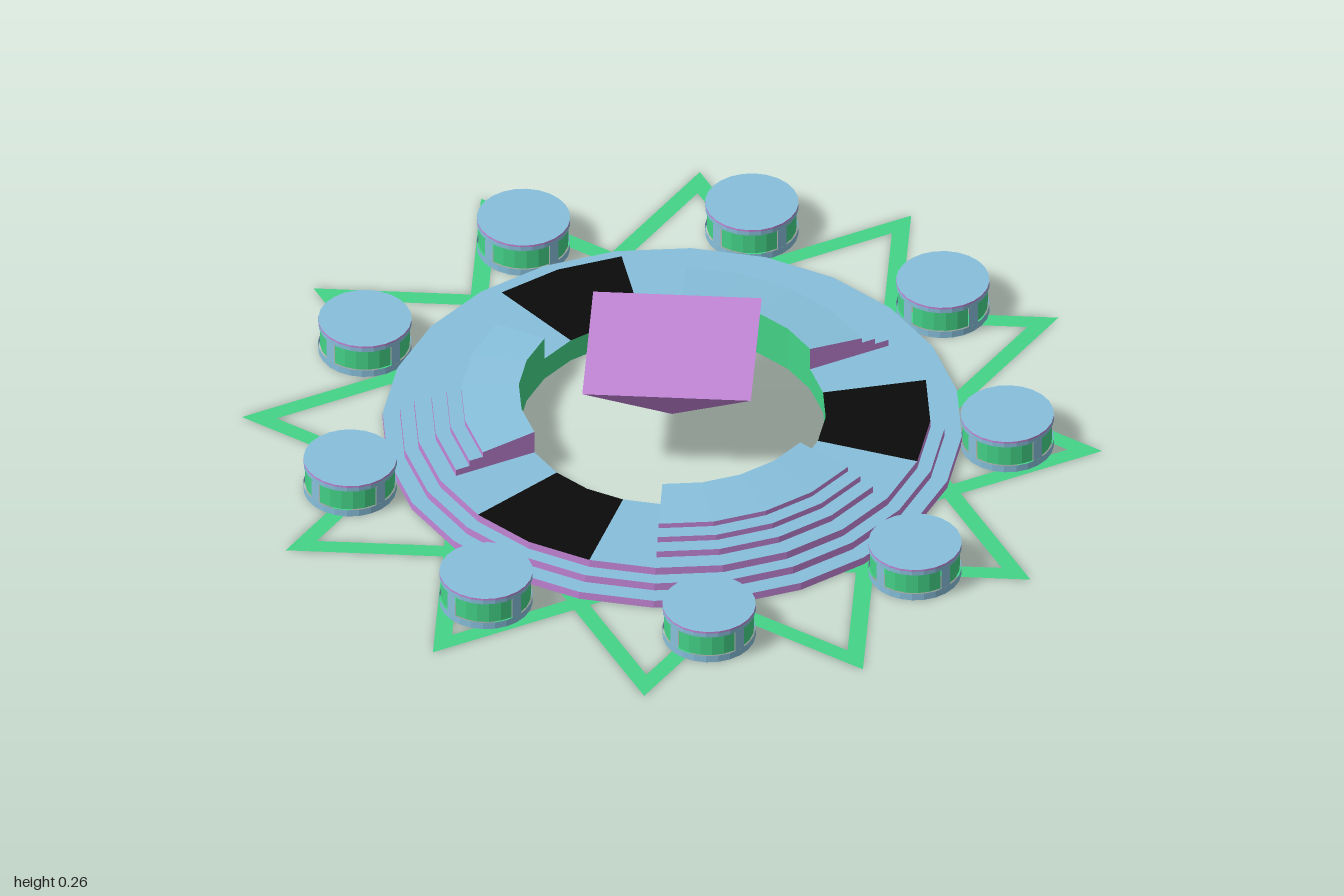
import * as THREE from 'three';

const RAD = Math.PI / 180;
const mat = (color) => new THREE.MeshStandardMaterial({ color, flatShading: true, side: THREE.DoubleSide });
const blue = mat(0x88c0dc), pink = mat(0xc486d8), green = mat(0x44d488), black = mat(0x0a0a0a);

function add(parent, name, geometry, material) {
  const mesh = new THREE.Mesh(geometry, material);
  mesh.name = name;
  parent.add(mesh);
  return mesh;
}

// Surface swept round y from one profile segment; angles run from +x towards +z.
function sweep(parent, name, material, r0, y0, r1, y1, from = 0, to = 360, step = 15) {
  const points = [new THREE.Vector2(r0, y0), new THREE.Vector2(r1, y1)];
  const count = Math.max(1, Math.round((to - from) / step));
  const geometry = new THREE.LatheGeometry(points, count, (90 - to) * RAD, (to - from) * RAD);
  return add(parent, name, geometry, material);
}

// Four flat triangular frames form the twelve-pointed star.
function makeStar() {
  const star = new THREE.Group();
  star.name = 'star';
  const corners = (r) => [0, 1, 2].map((i) =>
    new THREE.Vector2(r * Math.cos(i * 120 * RAD), r * Math.sin(i * 120 * RAD)));
  const shape = new THREE.Shape(corners(0.995));
  shape.holes.push(new THREE.Path(corners(0.915)));
  const geometry = new THREE.ShapeGeometry(shape).rotateX(-Math.PI / 2);
  for (let i = 0; i < 4; i++) {
    add(star, 'triangleFrame', geometry, green).rotation.y = i * 30 * RAD;
  }
  return star;
}

const INNER = 0.355;

// Stepped ring, hollow underneath.
function makeRing() {
  const ring = new THREE.Group();
  ring.name = 'steppedRing';
  const radii = [0.67, 0.63, 0.597];
  radii.forEach((r, i) => {
    const y = (i + 1) * 0.02;
    sweep(ring, 'stepRiser', pink, r, y - 0.02, r, y);
    if (i < 2) sweep(ring, 'stepTread', blue, r, y, radii[i + 1], y);
  });
  sweep(ring, 'innerWall', green, INNER, 0.002, INNER, 0.06);
  for (let i = 0; i < 3; i++) {
    const a = i * 120;
    sweep(ring, 'darkPanel', black, 0.597, 0.06, INNER, 0.06, a - 15, a + 15);
    sweep(ring, 'ringTop', blue, 0.597, 0.06, INNER, 0.06, a + 15, a + 105);
    ring.add(makePlatform(a + 30, a + 90));
  }
  return ring;
}

// Raised platform on the ring: three steps, a slightly sloped top, flat ends.
function makePlatform(from, to) {
  const platform = new THREE.Group();
  platform.name = 'raisedPlatform';
  const profile = [[0.557, 0.06], [0.557, 0.077], [0.522, 0.077], [0.522, 0.092],
    [0.488, 0.092], [0.488, 0.105], [INNER, 0.119], [INNER, 0.06]];
  for (let i = 0; i < 7; i++) {
    const [a, b] = [profile[i], profile[i + 1]];
    const material = i === 6 ? green : i % 2 ? blue : pink;
    const name = i === 6 ? 'platformInnerWall' : i % 2 ? 'platformTread' : 'platformRiser';
    sweep(platform, name, material, ...a, ...b, from, to);
  }
  const end = new THREE.ShapeGeometry(new THREE.Shape(profile.map((p) => new THREE.Vector2(...p))));
  for (const angle of [from, to]) add(platform, 'platformEnd', end, pink).rotation.y = -angle * RAD;
  return platform;
}

// Round pod with four curved windows, open at the bottom.
function makePod() {
  const pod = new THREE.Group();
  pod.name = 'pod';
  const r = 0.108;
  sweep(pod, 'podTop', blue, r, 0.09, 0, 0.09);
  sweep(pod, 'podRim', pink, r, 0.085, r, 0.09);
  sweep(pod, 'podUpperBand', blue, r, 0.074, r, 0.085);
  sweep(pod, 'podLowerBand', blue, r, 0.002, r, 0.02);
  for (let i = 0; i < 4; i++) {
    const a = i * 90;
    sweep(pod, 'podWindow', green, r - 0.004, 0.02, r - 0.004, 0.074, a - 38, a + 38);
    sweep(pod, 'podPost', blue, r, 0.02, r, 0.074, a + 38, a + 52);
  }
  return pod;
}

export function createModel() {
  const model = new THREE.Group();
  model.name = 'starStation';
  model.add(makeStar());

  // Ring and pods share a centre
  const hub = new THREE.Group();
  hub.name = 'hub';
  hub.position.z = -0.01;
  hub.add(makeRing());
  for (let i = 0; i < 9; i++) {
    const pod = makePod();
    const a = i * 40 * RAD;
    pod.position.set(0.775 * Math.cos(a), 0, 0.775 * Math.sin(a));
    hub.add(pod);
  }
  model.add(hub);

  // Inverted square pyramid floating in the middle
  const pyramid = new THREE.ConeGeometry(0.195 * Math.SQRT2, 0.197, 4).rotateY(Math.PI / 4).rotateX(Math.PI);
  add(model, 'pyramid', pyramid, pink).position.y = 0.157;
  return model;
}
